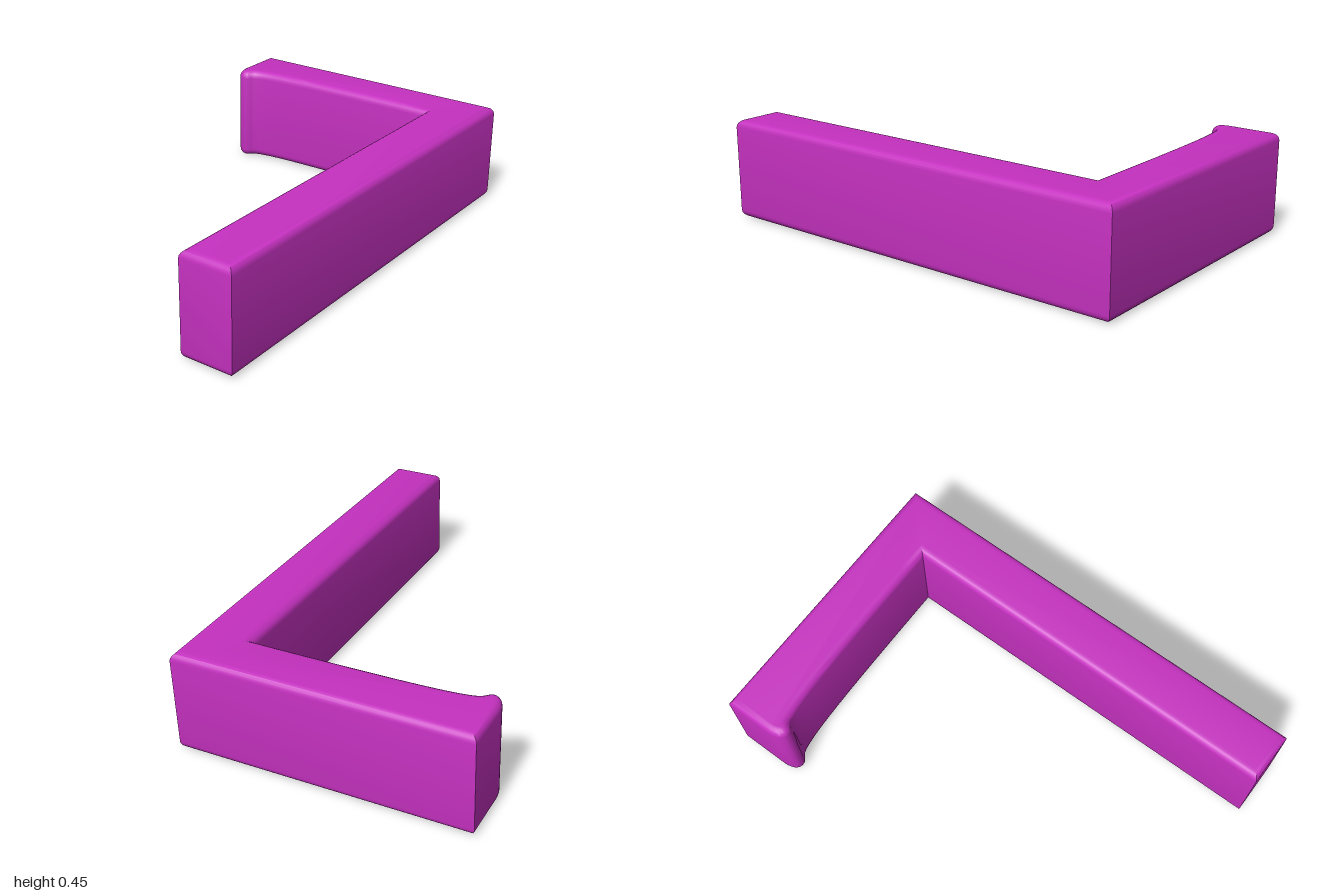
import * as THREE from 'three';
import { toCreasedNormals } from 'three/addons/utils/BufferGeometryUtils.js';

const HEIGHT = 0.455;
const BEVEL = 0.035;

// Plan outline of the hook; shape y is -z
function hookOutline() {
  const s = new THREE.Shape();
  s.moveTo(-0.648, 1);
  s.lineTo(-0.648, 0.79);
  // Rounded lip at the end of the short arm
  s.bezierCurveTo(-0.648, 0.735, -0.63, 0.707, -0.6, 0.707);
  s.bezierCurveTo(-0.575, 0.707, -0.57, 0.728, -0.55, 0.738);
  // Gently curved inner edge of the short arm
  s.bezierCurveTo(-0.48, 0.765, -0.2, 0.77, 0.405, 0.77);
  // Long straight arm
  s.lineTo(0.405, -1);
  s.lineTo(0.645, -1);
  s.lineTo(0.645, 1);
  s.closePath();
  return s;
}

export function createModel() {
  const group = new THREE.Group();
  group.name = 'hookBracket';

  // Upright extrusion with rounded top and bottom edges
  const extruded = new THREE.ExtrudeGeometry(hookOutline(), {
    depth: HEIGHT - 2 * BEVEL,
    bevelEnabled: true,
    bevelThickness: BEVEL,
    bevelSize: BEVEL,
    bevelOffset: -BEVEL,
    bevelSegments: 5,
    curveSegments: 14,
  });
  extruded.rotateX(-Math.PI / 2);
  extruded.translate(0, BEVEL, 0);

  const material = new THREE.MeshStandardMaterial({ color: 0xc531c0 });
  const hook = new THREE.Mesh(toCreasedNormals(extruded, 0.8), material);
  hook.name = 'hookBody';
  group.add(hook);
  return group;
}
